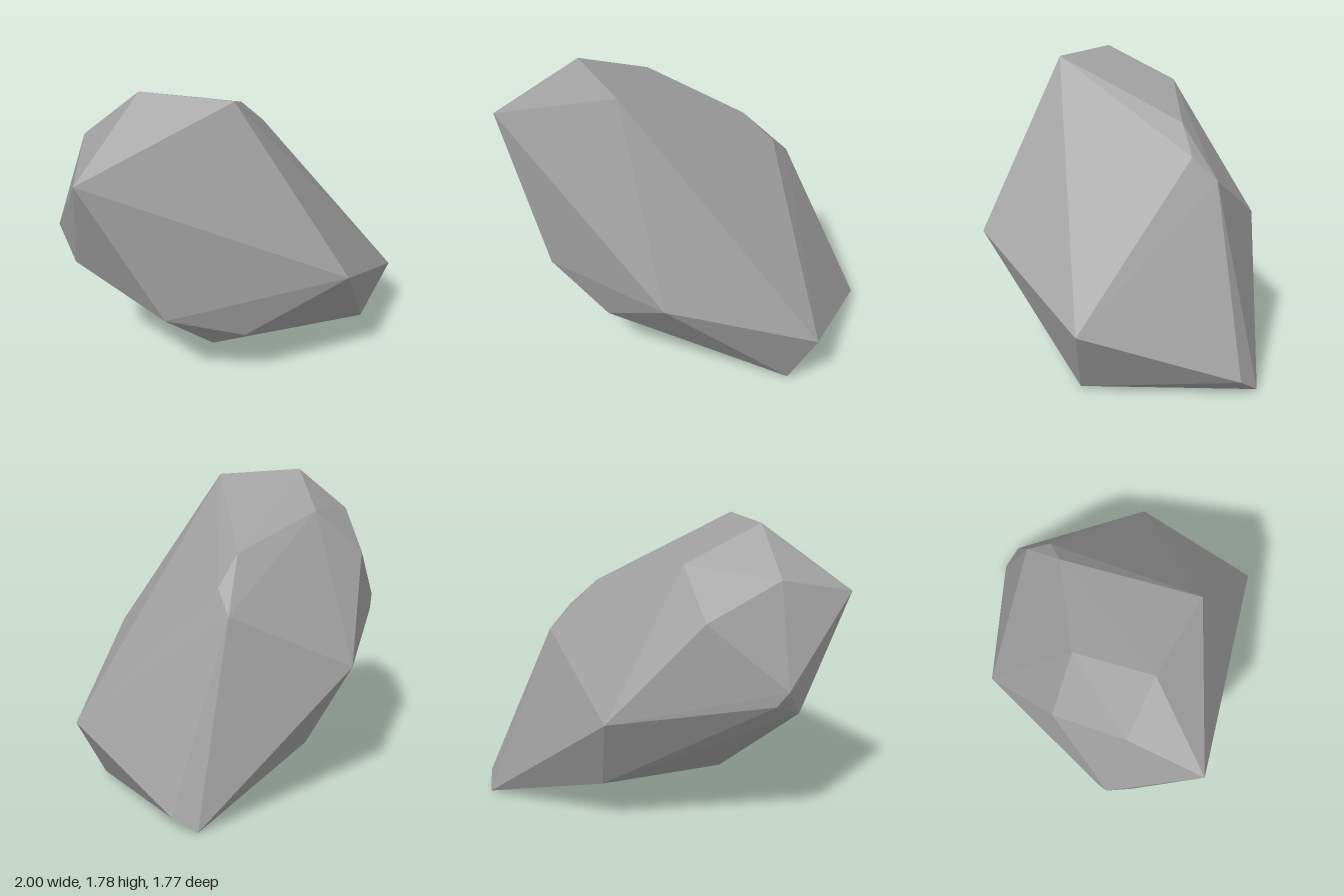
import * as THREE from 'three';
import { ConvexGeometry } from 'three/addons/geometries/ConvexGeometry.js';

// Corners of the boulder, from its crown down to its base.
const CORNERS = [
  // crown
  [-0.51, 1.785, 0.48], [-0.01, 1.755, 0.565], [-0.485, 1.59, 0.01], [-0.815, 1.53, 0.44],
  // shoulders
  [-0.837, 1.43, 0.885], [0.06, 1.41, -0.28], [-0.78, 1.33, 0.0], [0.2, 1.24, -0.4], [0.17, 1.11, -0.545],
  // waist
  [-1.0, 0.955, 0.4], [-0.97, 0.87, 0.34], [-0.905, 0.78, 0.53], [0.615, 0.78, 0.753], [-0.57, 0.757, -0.505],
  // underside
  [-0.4, 0.575, 0.84], [0.045, 0.403, 0.74], [1.0, 0.375, -0.063], [-0.32, 0.28, -0.42], [-0.135, 0.152, 0.46],
  // base
  [0.55, 0.083, -0.843], [0.83, 0.022, 0.0], [0.415, 0.0, -0.89],
];

export function createModel() {
  const model = new THREE.Group();
  model.name = 'rock';

  const stone = new THREE.MeshStandardMaterial({ color: 0xa0a0a0 });
  stone.name = 'grey stone';
  stone.flatShading = true;

  // Single faceted boulder: the convex skin around its corners
  const points = CORNERS.map((c) => new THREE.Vector3(...c));
  const boulder = new THREE.Mesh(new ConvexGeometry(points), stone);
  boulder.name = 'boulder';
  model.add(boulder);

  return model;
}
